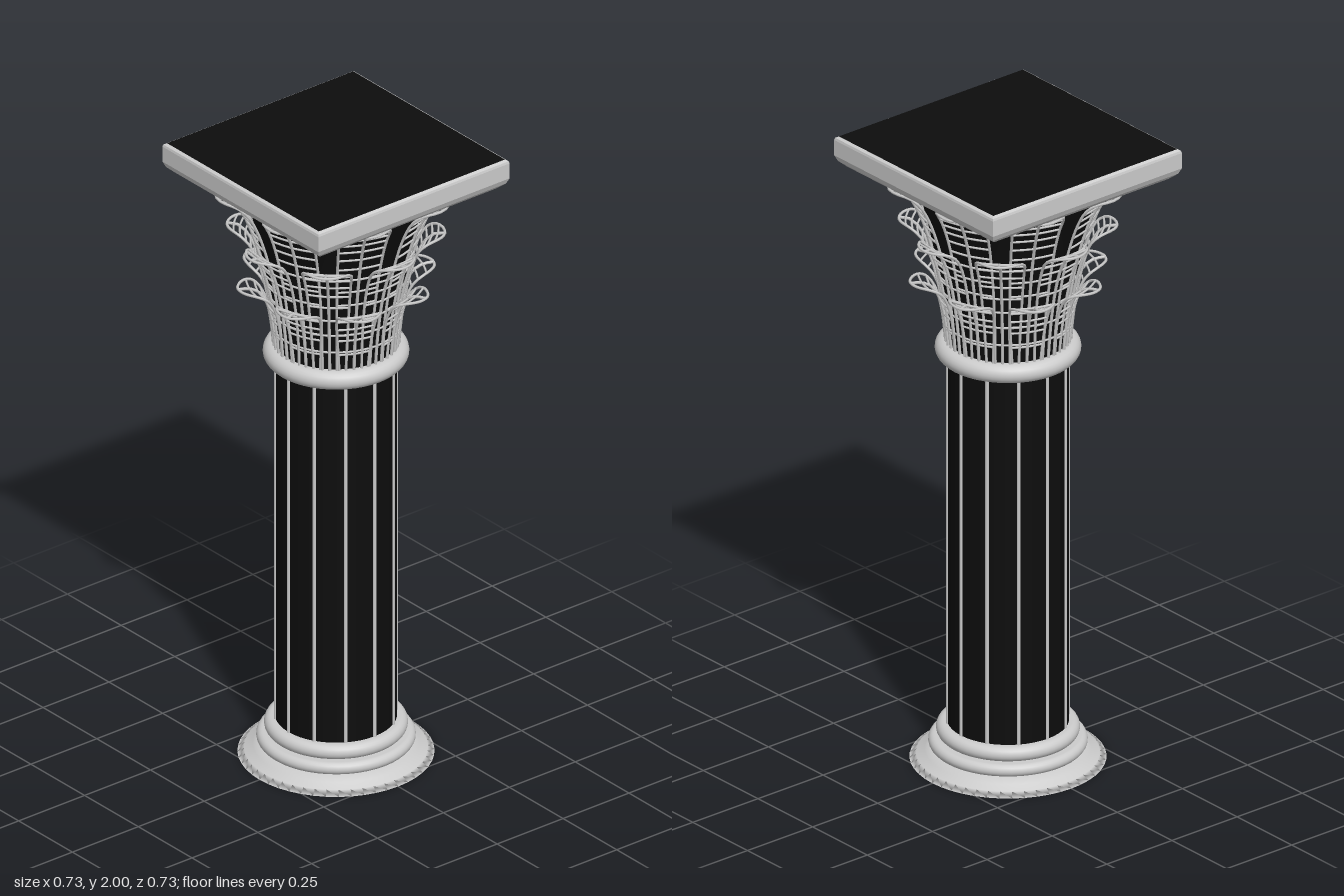
import * as THREE from 'three';

const pale = new THREE.MeshStandardMaterial({ color: 0xcccccc, side: THREE.DoubleSide });
const paleFlat = new THREE.MeshStandardMaterial({ color: 0xcccccc, flatShading: true, side: THREE.DoubleSide });
const dark = new THREE.MeshStandardMaterial({ color: 0x0d0d0d, side: THREE.DoubleSide });

function add(parent, name, geometry, material) {
  const mesh = new THREE.Mesh(geometry, material);
  mesh.name = name;
  parent.add(mesh);
  return mesh;
}

function lathe(points, segments, phase = 0) {
  return new THREE.LatheGeometry(points.map(([r, y]) => new THREE.Vector2(r, y)), segments, phase);
}

// Rounded moulding: a half-round band around the column, closed above and below
function moulding(parent, name, outer, y0, y1) {
  const h = (y1 - y0) / 2;
  const pts = [[0.15, y0]];
  for (let i = 0; i <= 10; i++) {
    const a = -Math.PI / 2 + (i / 10) * Math.PI;
    pts.push([outer - h + h * Math.cos(a), (y0 + y1) / 2 + h * Math.sin(a)]);
  }
  pts.push([0.15, y1]);
  add(parent, name, lathe(pts, 48), pale);
}

// Radius of the flaring bell at height y
function bellRadius(y) {
  const t = (y - 1.36) / 0.52;
  return 0.178 + 0.04 * t + 0.052 * t * t;
}

// Openwork leaf: arched outline, midrib and crossbars, leaning outward to a curled tip
function makeLeaf(top, tipRadius, halfWidth) {
  const leaf = new THREE.Group();
  const y0 = 1.36;
  const lean = tipRadius - bellRadius(top);
  const point = (t, side) => {
    const y = y0 + (top - y0) * Math.sin(Math.min(1, t * 1.06) * Math.PI / 2) ** 0.9;
    const r = bellRadius(y) + 0.006 + (lean - 0.006) * t ** 3;
    const shoulder = t < 0.72 ? 1 : Math.sqrt(Math.max(0, 1 - ((t - 0.72) / 0.28) ** 2));
    const a = side * halfWidth * (0.65 + 0.35 * Math.min(1, t / 0.72)) * shoulder / r;
    return new THREE.Vector3(Math.sin(a) * r, y, Math.cos(a) * r);
  };
  const tube = (name, pts, segments, radius) =>
    add(leaf, name, new THREE.TubeGeometry(new THREE.CatmullRomCurve3(pts), segments, radius, 5), pale);

  const outline = [];
  const N = 20;
  for (let i = 0; i <= N; i++) outline.push(point(Math.sin((i / N) * Math.PI / 2), -1));
  for (let i = N - 1; i >= 0; i--) outline.push(point(Math.sin((i / N) * Math.PI / 2), 1));
  tube('leafOutline', outline, 56, 0.0045);

  const midrib = [];
  for (let i = 0; i <= 8; i++) midrib.push(point(i / 8, 0));
  tube('leafMidrib', midrib, 14, 0.005);

  const bars = Math.round((top - y0) / 0.034);
  for (let i = 1; i < bars; i++) {
    const t = i / bars;
    tube('leafCrossbar', [point(t, -1), point(t, 0), point(t, 1)], 4, 0.0035);
  }
  return leaf;
}

export function createModel() {
  const model = new THREE.Group();
  model.name = 'column';

  // Base: flared foot with two rounded mouldings
  const base = new THREE.Group();
  base.name = 'base';
  model.add(base);
  add(base, 'foot', lathe([[0, 0], [0.29, 0], [0.27, 0.013], [0.245, 0.025], [0.225, 0.042], [0.15, 0.045]], 48), pale);
  moulding(base, 'lowerMoulding', 0.235, 0.038, 0.077);
  moulding(base, 'upperMoulding', 0.212, 0.075, 0.122);

  // Shaft with twelve slender ribs
  const shaft = add(model, 'shaft', new THREE.CylinderGeometry(0.18, 0.18, 1.2, 48, 1, true), dark);
  shaft.position.y = 0.715;
  for (let i = 0; i < 12; i++) {
    const a = (i / 12) * Math.PI * 2;
    const rib = add(model, 'shaftRib', new THREE.CylinderGeometry(0.006, 0.006, 1.2, 8, 1, true), pale);
    rib.position.set(Math.sin(a) * 0.179, 0.715, Math.cos(a) * 0.179);
  }

  // Collar between shaft and capital
  moulding(model, 'collar', 0.216, 1.308, 1.368);

  // Bell of the capital
  const capital = new THREE.Group();
  capital.name = 'capital';
  model.add(capital);
  const bell = [];
  for (let i = 0; i <= 12; i++) {
    const y = 1.35 + (i / 12) * 0.53;
    bell.push([bellRadius(y), y]);
  }
  add(capital, 'bell', lathe(bell, 48), dark);

  // Three tiers of eight leaves, the middle tier staggered
  const tiers = [
    ['lowerLeaf', 1.585, 0.3, 0.068, 0.5],
    ['middleLeaf', 1.745, 0.322, 0.074, 0],
    ['upperLeaf', 1.9, 0.366, 0.078, 0.5],
  ];
  for (const [name, top, radius, width, shift] of tiers) {
    const pattern = makeLeaf(top, radius, width);
    for (let i = 0; i < 8; i++) {
      const leaf = pattern.clone();
      leaf.name = name;
      leaf.rotation.y = (i + shift) * Math.PI / 4;
      capital.add(leaf);
    }
  }

  // Square abacus with a curved underside
  const profile = [[0, 1.87], [0.265, 1.87], [0.305, 1.885], [0.335, 1.902], [0.355, 1.92], [0.363, 1.938], [0.363, 1.988], [0.361, 1.995], [0.353, 2]];
  add(capital, 'abacus', lathe(profile.map(([r, y]) => [r * Math.SQRT2, y]), 4, Math.PI / 4), paleFlat);
  const slab = add(capital, 'abacusTop', new THREE.PlaneGeometry(0.706, 0.706), dark);
  slab.rotation.x = -Math.PI / 2;
  slab.position.y = 2;

  return model;
}
